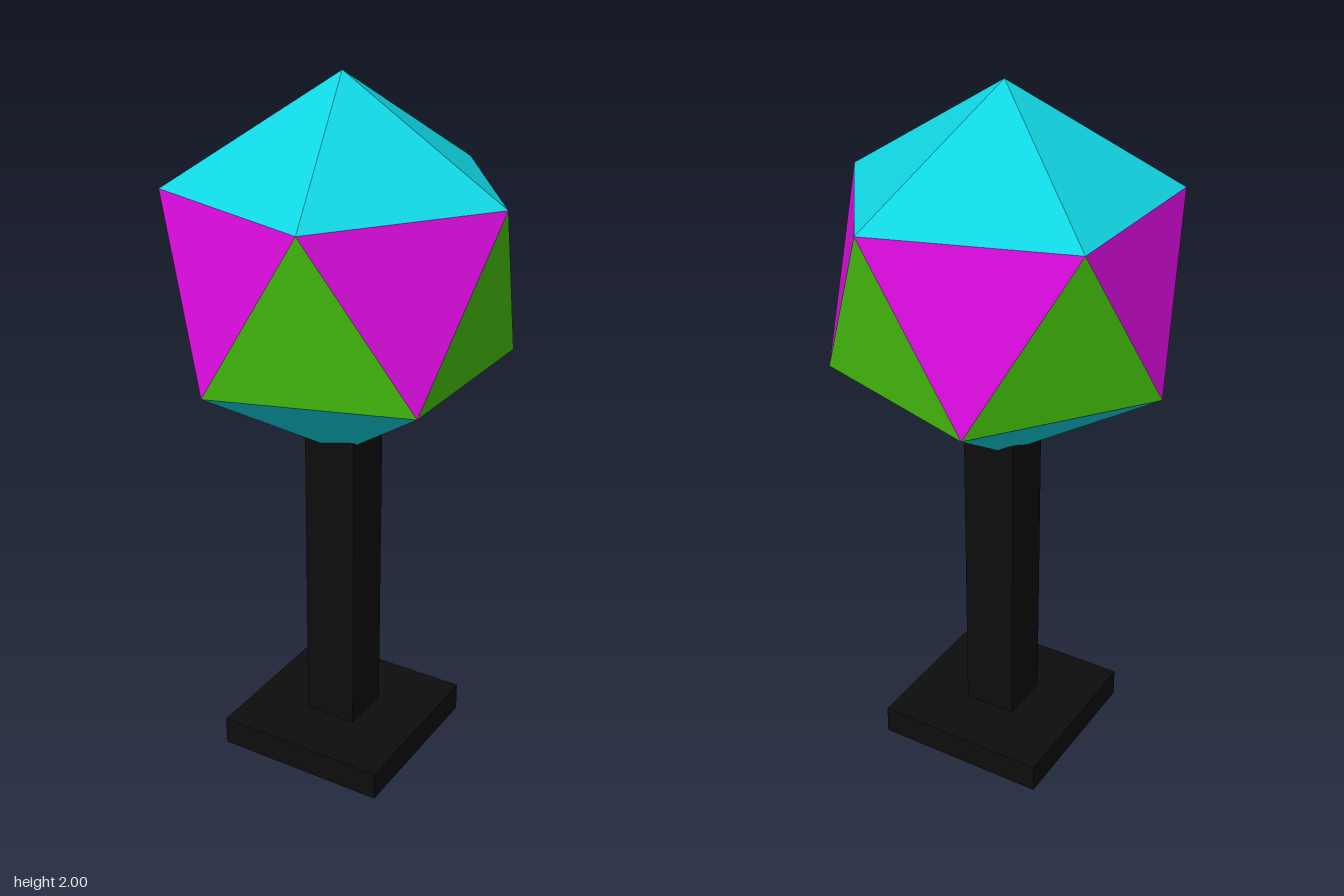
import * as THREE from 'three';

const RING = 0.475, Y_TOP = 2, Y_UPPER = 1.705, Y_LOWER = 1.23, Y_BOTTOM = 0.937;

const material = (color) => new THREE.MeshStandardMaterial({ color, flatShading: true });

// Corner i of a five-sided ring; the lower ring is turned by half a step
const corner = (i, y, turn) => {
  const a = ((i + turn) * Math.PI * 2) / 5;
  return new THREE.Vector3(RING * Math.cos(a), y, RING * Math.sin(a));
};
const upper = (i) => corner(i, Y_UPPER, 0);
const lower = (i) => corner(i, Y_LOWER, 0.5);

// Five triangles around the vertical axis
function band(name, mat, triangle) {
  const points = [];
  for (let i = 0; i < 5; i++) points.push(...triangle(i));
  const geometry = new THREE.BufferGeometry().setFromPoints(points);
  geometry.computeVertexNormals();
  const mesh = new THREE.Mesh(geometry, mat);
  mesh.name = name;
  return mesh;
}

function block(name, mat, width, y0, y1) {
  const mesh = new THREE.Mesh(new THREE.BoxGeometry(width, y1 - y0, width), mat);
  mesh.position.set(0.004, (y0 + y1) / 2, -0.002);
  mesh.name = name;
  return mesh;
}

export function createModel() {
  const model = new THREE.Group();
  const cyan = material(0x10d5e2);
  const magenta = material(0xdc0ce0);
  const green = material(0x48c80e);
  const black = material(0x0d0d0d);

  // Twenty-sided head: top cap, two interlocking belts, bottom cap
  const head = new THREE.Group();
  head.name = 'head';
  const top = new THREE.Vector3(0, Y_TOP, 0);
  const bottom = new THREE.Vector3(0, Y_BOTTOM, 0);
  head.add(
    band('topCap', cyan, (i) => [top, upper(i + 1), upper(i)]),
    band('upperBelt', magenta, (i) => [upper(i), upper(i + 1), lower(i)]),
    band('lowerBelt', green, (i) => [lower(i + 1), lower(i), upper(i + 1)]),
    band('bottomCap', cyan, (i) => [bottom, lower(i), lower(i + 1)])
  );

  // Square post and foot
  model.add(head, block('post', black, 0.158, 0.085, 1.01), block('base', black, 0.516, 0, 0.085));
  return model;
}
